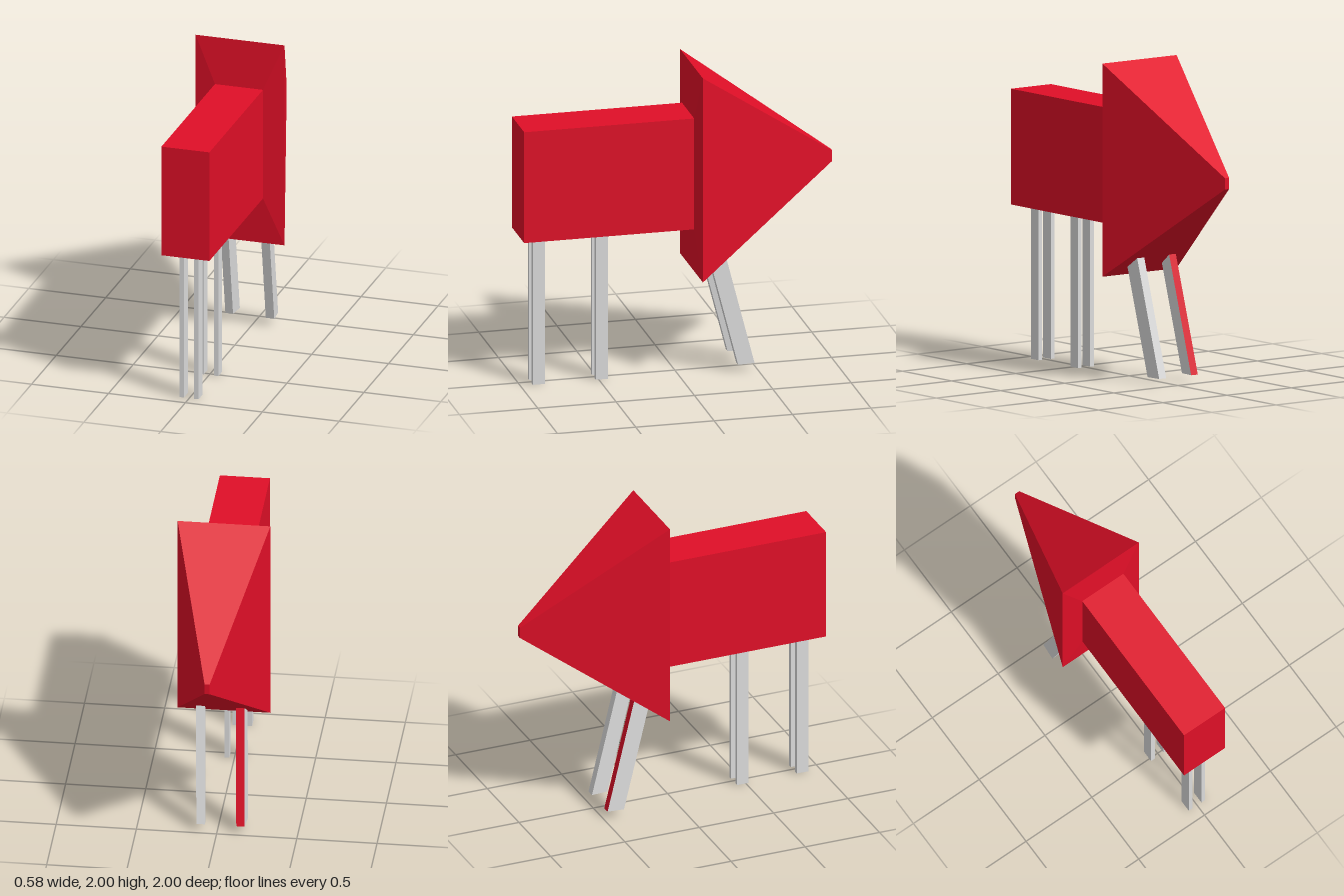
import * as THREE from 'three';

const red = new THREE.MeshStandardMaterial({ color: 0xe00f27 });
red.name = 'red';
const grey = new THREE.MeshStandardMaterial({ color: 0xdcdcdc });
grey.name = 'lightGrey';

// Flat-sided solid through four-cornered rings, capped at both ends.
// Material group 1 holds the first side of every span, group 0 the rest.
function loft(rings) {
  const first = [], rest = [];
  const quad = (out, a, b, c, d) => out.push(...a, ...b, ...c, ...a, ...c, ...d);
  for (let i = 0; i + 1 < rings.length; i++) {
    const A = rings[i], B = rings[i + 1];
    for (let k = 0; k < 4; k++) {
      const n = (k + 1) % 4;
      quad(k === 0 ? first : rest, A[k], B[k], B[n], A[n]);
    }
  }
  const s = rings[0], e = rings[rings.length - 1];
  quad(rest, s[0], s[1], s[2], s[3]);
  quad(rest, e[3], e[2], e[1], e[0]);
  const g = new THREE.BufferGeometry();
  g.setAttribute('position', new THREE.Float32BufferAttribute([...rest, ...first], 3));
  g.addGroup(0, rest.length / 3, 0);
  g.addGroup(rest.length / 3, first.length / 3, 1);
  g.computeVertexNormals();
  return g;
}

// Upright rectangle facing +z
const rect = (w, y0, y1, z) => [[-w, y0, z], [w, y0, z], [w, y1, z], [-w, y1, z]];

export function createModel() {
  const group = new THREE.Group();
  const add = (name, geometry, material) => {
    const mesh = new THREE.Mesh(geometry, material);
    mesh.name = name;
    group.add(mesh);
    return mesh;
  };

  // Block body
  add('body', new THREE.BoxGeometry(0.312, 0.725, 1.085), red).position.set(0, 1.328, 0.4575);

  // Wedge head with a shallow sloped front and a small blunt tip
  add('head', loft([
    rect(0.156, 0.966, 1.69, -0.085),
    rect(0.289, 0.66, 1.995, -0.107),
    rect(0.016, 1.29, 1.36, -1),
  ]), [red, red]);

  // Straight flat pins
  for (const z of [0.882, 0.48]) {
    for (const x of [-0.049, 0.046]) {
      add('straightLeg', new THREE.BoxGeometry(0.028, 1, 0.078), grey).position.set(x, 0.5, z);
    }
  }

  // Splayed pins under the head, slightly skewed towards each other
  const slantedLeg = (name, front, back, backMaterial) => {
    const ring = (y, dx, dz) => [
      [back[0] + dx, y, -0.477 + dz], [back[1] + dx, y, -0.477 + dz],
      [front[1] + dx, y, -0.37 + dz], [front[0] + dx, y, -0.37 + dz],
    ];
    add(name, loft([ring(0.05, 0, 0), ring(0.9, 0.028, 0.223)]), [grey, backMaterial]);
  };
  slantedLeg('rightSlantedLeg', [-0.18, -0.13], [-0.172, -0.12], red);
  slantedLeg('leftSlantedLeg', [0.083, 0.138], [0.074, 0.129], grey);

  return group;
}
